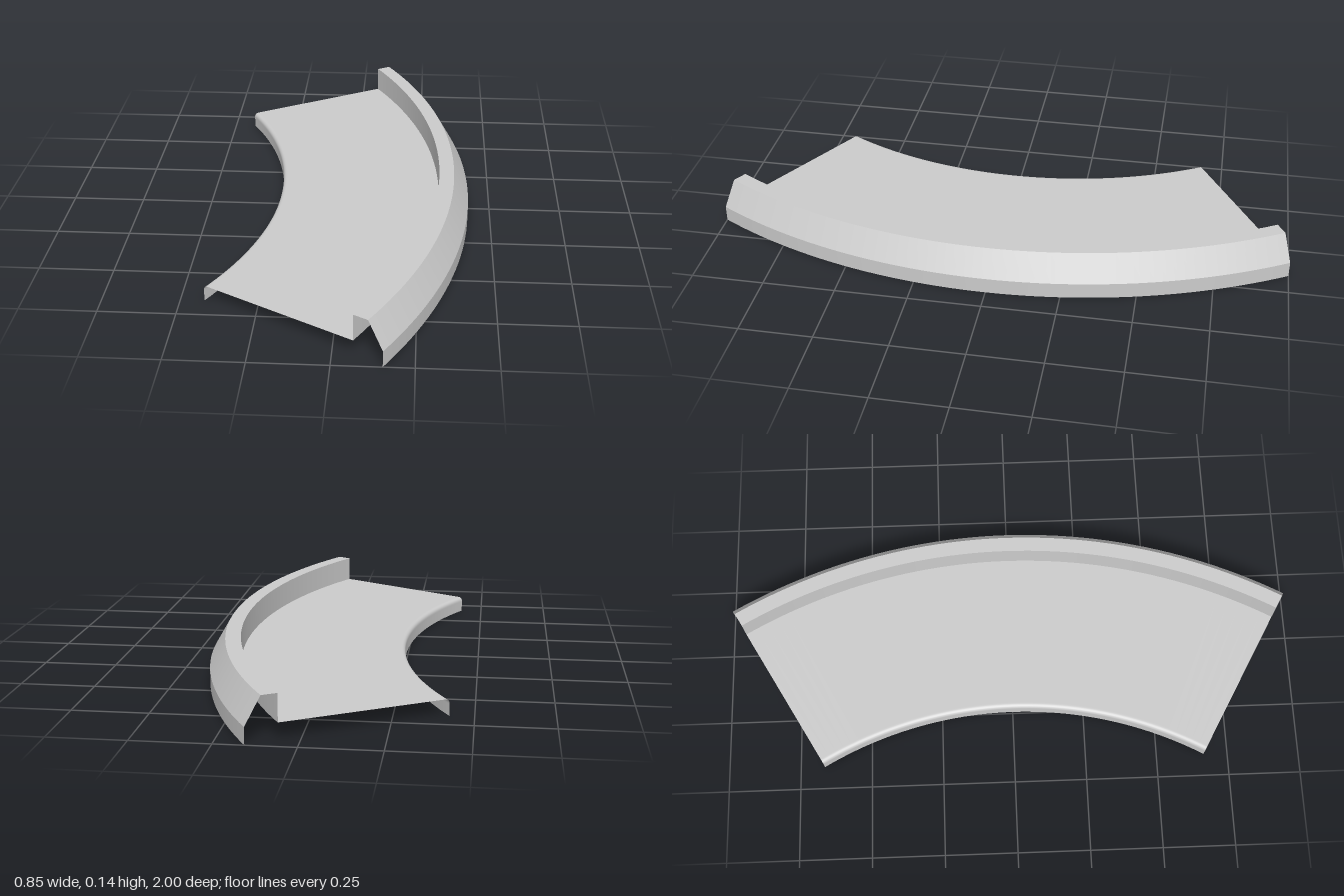
import * as THREE from 'three';

const SWEEP = Math.PI / 3;          // whole bend covers 60 degrees
const INNER = 4 / 3, OUTER = 2;     // radii of the bend
const FLOOR_Y = 0.055, TOP_Y = 0.145;
const WALL_IN = 1.896, WALL_OUT = 1.948;

const material = new THREE.MeshStandardMaterial({ color: 0xcccccc, side: THREE.DoubleSide });

// Sweeps an open [radius, height] profile around the centre of the bend
function sweep(name, profile, start = 0, length = SWEEP, segments = 48) {
  const points = profile.map(([r, y]) => new THREE.Vector2(r, y));
  const geometry = new THREE.LatheGeometry(points, segments, Math.PI / 2 - SWEEP / 2 + start, length);
  const mesh = new THREE.Mesh(geometry, material);
  mesh.name = name;
  return mesh;
}

export function createModel() {
  const group = new THREE.Group();
  group.name = 'curvedTrack';

  const bend = new THREE.Group();
  bend.name = 'bend';
  // Centre of curvature, placed so the piece is centred on x = 0
  bend.position.x = -(OUTER + INNER * Math.cos(SWEEP / 2)) / 2;
  group.add(bend);

  // Raised outer barrier: each strip is separate so its edges stay sharp
  bend.add(
    sweep('barrierSkirt', [[OUTER, 0], [OUTER, FLOOR_Y]]),
    sweep('barrierSlope', [[OUTER, FLOOR_Y], [WALL_OUT, TOP_Y]]),
    sweep('barrierTop', [[WALL_OUT, TOP_Y], [WALL_IN, TOP_Y]]),
    sweep('barrierInnerWall', [[WALL_IN, TOP_Y], [WALL_IN, FLOOR_Y]]),
  );

  // Floor in four equal panels, each with a rounded lip on the inner edge
  const radius = 0.014;
  const profile = [[WALL_IN, FLOOR_Y], [INNER + radius + 0.004, FLOOR_Y]];
  for (let i = 0; i <= 5; i++) {
    const a = (i / 5) * Math.PI / 2;
    profile.push([INNER + radius * (1 - Math.sin(a)), FLOOR_Y - radius * (1 - Math.cos(a))]);
  }
  profile.push([INNER, FLOOR_Y - radius - 0.004], [INNER, 0]);
  for (let i = 0; i < 4; i++) {
    bend.add(sweep('floorPanel' + (i + 1), profile, i * SWEEP / 4, SWEEP / 4, 12));
  }

  return group;
}
